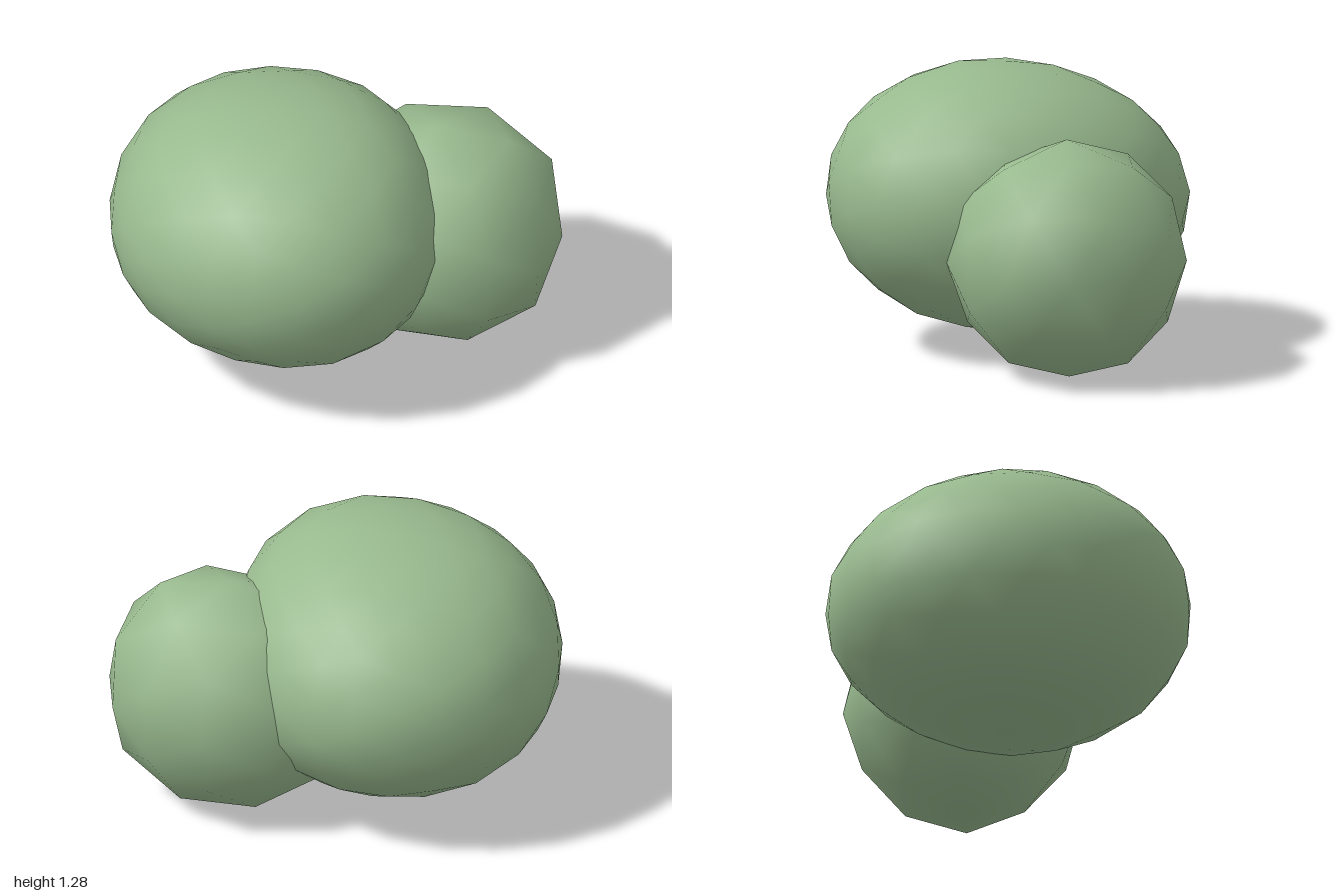
import * as THREE from 'three';
import { mergeVertices } from 'three/addons/utils/BufferGeometryUtils.js';

const foliage = new THREE.MeshStandardMaterial({ color: 0x98b98e });

// Smooth low-poly clump: an icosphere swollen by a rule, then fitted to a box
function clump(name, detail, swell, min, max) {
  let geo = new THREE.IcosahedronGeometry(1, detail);
  geo.deleteAttribute('uv');
  geo.deleteAttribute('normal');
  geo = mergeVertices(geo, 1e-4);

  const pos = geo.attributes.position;
  const p = new THREE.Vector3();
  for (let i = 0; i < pos.count; i++) {
    p.fromBufferAttribute(pos, i);
    p.multiplyScalar(swell(p.x, p.y, p.z));
    pos.setXYZ(i, p.x, p.y, p.z);
  }

  geo.computeBoundingBox();
  const box = geo.boundingBox;
  const size = box.getSize(new THREE.Vector3());
  const lo = new THREE.Vector3(...min);
  const scale = new THREE.Vector3(...max).sub(lo).divide(size);
  geo.translate(-box.min.x, -box.min.y, -box.min.z);
  geo.scale(scale.x, scale.y, scale.z);
  geo.translate(lo.x, lo.y, lo.z);
  geo.computeVertexNormals();

  const mesh = new THREE.Mesh(geo, foliage);
  mesh.name = name;
  return mesh;
}

export function createModel() {
  const bush = new THREE.Group();
  bush.name = 'bush';

  // Large clump, fuller towards the left front
  bush.add(clump('largeClump', 3,
    (x, y, z) => 1 + 0.08 * x * z + 0.02 * x * y + 0.05 * y * z
      + 0.04 * x * (1 - x * x) + 0.04 * z * (1 - z * z)
      + x * x * (0.12 * y * y + 0.06 * z * z),
    [-1, 0.08, -0.81], [0.5, 1.28, 0.81]));

  // Small clump, coarser, tucked behind on the left
  bush.add(clump('smallClump', 1,
    (x, y, z) => 1 + 0.04 * y + 0.03 * x * y + 0.06 * x * z
      + 0.06 * x * (1 - x * x) - 0.04 * z * (1 - z * z)
      + 0.2 * x * x * y * y,
    [-0.12, 0, -0.77], [1, 1.065, 0.3]));

  return bush;
}
